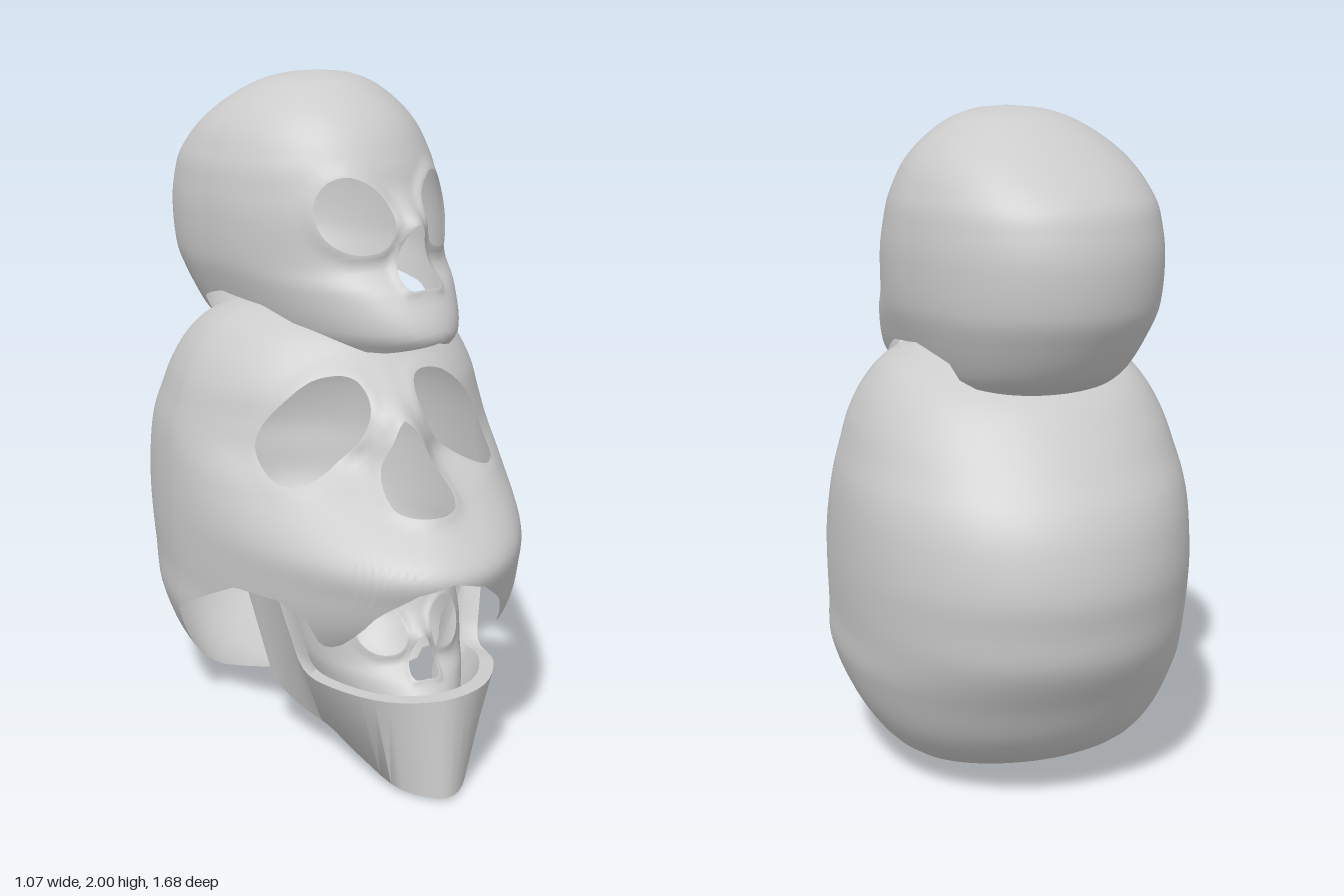
import * as THREE from 'three';
import { toCreasedNormals } from 'three/addons/utils/BufferGeometryUtils.js';

const bone = new THREE.MeshStandardMaterial({ color: 0xcccccc, side: THREE.DoubleSide });

// Smooth interpolation of column c in rows keyed by their first entry
function sample(rows, c, key) {
  const n = rows.length - 1;
  let i = 0;
  while (i < n - 1 && key > rows[i + 1][0]) i++;
  const slope = (a, b) => (rows[b][c] - rows[a][c]) / (rows[b][0] - rows[a][0]);
  const h = rows[i + 1][0] - rows[i][0];
  const t = THREE.MathUtils.clamp((key - rows[i][0]) / h, 0, 1);
  const m0 = slope(Math.max(i - 1, 0), i + 1) * h;
  const m1 = slope(i, Math.min(i + 2, n)) * h;
  const t2 = t * t, t3 = t2 * t;
  return (2 * t3 - 3 * t2 + 1) * rows[i][c] + (t3 - 2 * t2 + t) * m0
    + (3 * t2 - 2 * t3) * rows[i + 1][c] + (t3 - t2) * m1;
}

function linear(rows, key) {
  let i = 0;
  while (i < rows.length - 2 && key > rows[i + 1][0]) i++;
  const [a, b] = [rows[i], rows[i + 1]];
  return THREE.MathUtils.mapLinear(key, a[0], b[0], a[1], b[1]);
}

// How far (x, y) can be scaled from the hole's centre to meet its rim; over 1 is inside
function rimScale(hole, x, y) {
  const [cx, cy] = hole.centre;
  const px = x - cx, py = y - cy;
  if (Math.hypot(px, py) < 1e-6) return 1e6;
  for (let i = 0; i < hole.points.length; i++) {
    const a = hole.points[i], b = hole.points[(i + 1) % hole.points.length];
    const ax = a[0] - cx, ay = a[1] - cy, ex = b[0] - a[0], ey = b[1] - a[1];
    const d = px * ey - py * ex;
    if (Math.abs(d) < 1e-12) continue;
    const s = (ax * ey - ay * ex) / d, k = (ax * py - ay * px) / d;
    if (s > 0 && k >= -1e-6 && k <= 1 + 1e-6) return s;
  }
  return 0;
}

// Round the corners of a hole outline
const outline = (points) => new THREE.CatmullRomCurve3(
  points.map(([x, y]) => new THREE.Vector3(x, y, 0)), true, 'centripetal'
).getPoints(32).slice(0, 32).map((p) => [p.x, p.y]);

function makeHoles(spec) {
  const mirror = ([x, y]) => [-x, y];
  const eye = outline(spec.eye);
  return [
    { centre: spec.eyeCentre, points: eye },
    { centre: mirror(spec.eyeCentre), points: eye.map(mirror) },
    { centre: spec.noseCentre, points: outline(spec.nose) },
  ];
}

// Skull shell from horizontal sections [y, front z, middle z, back z, half width]
function skull(spec) {
  const holes = makeHoles(spec), rows = spec.sections;
  const top = rows[rows.length - 1][0];

  function surface(angle, y) {
    const w = Math.max(sample(rows, 4, y), 0), c = Math.cos(angle);
    const mid = sample(rows, 2, y), x = w * Math.sin(angle);
    if (c < 0) return new THREE.Vector3(x, y, mid + (sample(rows, 3, y) - mid) * Math.pow(-c, 0.8));
    let z = mid + (sample(rows, 1, y) - mid) * Math.pow(c, spec.taper);
    // nasal bone and raised rims
    const [bx, by, size, height] = spec.bridge;
    z += height * Math.exp(-((x / bx) ** 2) - ((y - by) / size) ** 2);
    for (const hole of holes) {
      const s = rimScale(hole, x, y);
      if (s > 0) z += spec.rim * Math.exp(-((Math.max(1 / s - 1, 0) / 0.2) ** 2)) * c;
    }
    return new THREE.Vector3(x, y, z);
  }

  function normal(angle, y) {
    if (y > top - 0.001) return new THREE.Vector3(0, 1, 0);
    const e = 0.012, lo = Math.max(y - e, 0), hi = Math.min(y + e, top);
    const du = surface(angle + e, y).sub(surface(angle - e, y));
    const dv = surface(angle, hi).sub(surface(angle, lo));
    return du.cross(dv).normalize();
  }

  function shell(name, start, cols, bottom, front) {
    const lines = 64, pos = [], nor = [], inside = [], index = [];
    for (let i = 0; i <= cols; i++) {
      for (let j = 0; j <= lines; j++) {
        let angle = start + (Math.PI * i) / cols;
        const base = linear(bottom, Math.abs(2 * i / cols - 1));
        let y = base + (top - base) * Math.sin((Math.PI / 2) * (j / lines));
        let cut = -1;
        if (front) {
          const x = sample(rows, 4, y) * Math.sin(angle);
          holes.forEach((hole, h) => {
            const s = rimScale(hole, x, y);
            if (s <= 1 || cut >= 0) return;
            cut = h;
            const [cx, cy] = hole.centre;
            const q = Math.min(s, 1e5);
            const nx = cx + (x - cx) * q;
            y = cy + (y - cy) * q;
            angle = Math.asin(THREE.MathUtils.clamp(nx / sample(rows, 4, y), -1, 1));
          });
        }
        pos.push(...surface(angle, y).toArray());
        nor.push(...normal(angle, y).toArray());
        inside.push(cut);
      }
    }
    const add = (a, b, c) => {
      if (inside[a] < 0 || inside[b] < 0 || inside[c] < 0) index.push(a, b, c);
    };
    for (let i = 0; i < cols; i++) {
      for (let j = 0; j < lines; j++) {
        const a = i * (lines + 1) + j, b = a + lines + 1;
        add(a, b, b + 1);
        add(a, b + 1, a + 1);
      }
    }
    const geo = new THREE.BufferGeometry();
    geo.setAttribute('position', new THREE.Float32BufferAttribute(pos, 3));
    geo.setAttribute('normal', new THREE.Float32BufferAttribute(nor, 3));
    geo.setIndex(index);
    const mesh = new THREE.Mesh(geo, bone);
    mesh.name = name;
    return mesh;
  }

  const group = new THREE.Group();
  group.add(shell('face', -Math.PI / 2, 84, spec.frontEdge, true));
  group.add(shell('cranium', Math.PI / 2, 44, spec.backEdge, false));
  return group;
}

// Edges are [0 at the middle .. 1 at the side, y]
const large = {
  sections: [
    [0, 0.3, -0.24, -0.28, 0.1], [0.06, 0.35, -0.2, -0.44, 0.31], [0.17, 0.4, -0.11, -0.61, 0.44],
    [0.35, 0.62, -0.05, -0.73, 0.525], [0.48, 0.76, -0.06, -0.805, 0.53], [0.6, 0.82, -0.08, -0.825, 0.535],
    [0.7, 0.83, -0.09, -0.835, 0.535], [0.83, 0.63, -0.1, -0.81, 0.53], [0.92, 0.45, -0.1, -0.77, 0.52],
    [1, 0.4, -0.1, -0.71, 0.5], [1.1, 0.37, -0.1, -0.63, 0.47], [1.2, 0.29, -0.1, -0.53, 0.415],
    [1.27, 0.21, -0.1, -0.4, 0.34], [1.32, 0.08, -0.1, -0.26, 0.2], [1.335, -0.1, -0.1, -0.1, 0],
  ],
  frontEdge: [[0, 0.675], [0.12, 0.645], [0.23, 0.57], [0.32, 0.43], [0.37, 0.43], [0.43, 0.51],
    [0.52, 0.55], [0.66, 0.54], [0.85, 0.42], [1, 0.35]],
  backEdge: [[0, 0], [1, 0]],
  eye: [[0.075, 1.1], [0.1, 1.15], [0.21, 1.14], [0.33, 1.03], [0.37, 0.94], [0.35, 0.865], [0.24, 0.89], [0.12, 0.98]],
  eyeCentre: [0.22, 1.01],
  nose: [[0, 1.05], [0.03, 1.02], [0.1, 0.84], [0, 0.82], [-0.1, 0.84], [-0.03, 1.02]],
  noseCentre: [0, 0.9],
  bridge: [0.1, 0.97, 0.14, 0.13],
  rim: 0.015,
  taper: 1.25,
};

const small = {
  sections: [
    [0, 0.52, -0.06, -0.36, 0.26], [0.06, 0.56, -0.07, -0.44, 0.3], [0.18, 0.5, -0.08, -0.52, 0.35],
    [0.25, 0.43, -0.08, -0.55, 0.37], [0.38, 0.4, -0.08, -0.56, 0.38], [0.47, 0.37, -0.08, -0.545, 0.375],
    [0.55, 0.34, -0.08, -0.51, 0.36], [0.66, 0.27, -0.07, -0.39, 0.305], [0.75, 0.16, -0.04, -0.25, 0.2],
    [0.79, 0.07, -0.03, -0.13, 0.1], [0.8, -0.02, -0.02, -0.02, 0],
  ],
  frontEdge: [[0, 0.04], [0.3, 0.01], [0.5, 0.01], [0.65, 0.06], [0.8, 0.12], [1, 0.14]],
  backEdge: [[0, 0], [0.55, 0], [0.78, 0.05], [0.82, 0.1], [1, 0.14]],
  eye: [[0.06, 0.37], [0.075, 0.46], [0.15, 0.515], [0.21, 0.5], [0.25, 0.43], [0.235, 0.34], [0.175, 0.295], [0.085, 0.31]],
  eyeCentre: [0.155, 0.4],
  nose: [[0, 0.38], [0.025, 0.36], [0.065, 0.2], [0, 0.195], [-0.065, 0.2], [-0.025, 0.36]],
  noseCentre: [0, 0.26],
  bridge: [0.06, 0.38, 0.06, 0.05],
  rim: 0.015,
  taper: 1.05,
};

// U-shaped lower jaw swept from the left ramus round the chin to the right ramus
function lowerJaw() {
  const upper = [[0.37, 0.5, 0.13], [0.35, 0.54, 0.32], [0.32, 0.42, 0.37], [0.29, 0.3, 0.42], [0.26, 0.3, 0.58], [0.15, 0.3, 0.73], [0, 0.3, 0.78]];
  const lower = [[0.3, 0.17, 0.2], [0.27, 0.14, 0.25], [0.25, 0.12, 0.3], [0.2, 0.09, 0.4], [0.16, 0.05, 0.55], [0.1, 0.01, 0.72], [0, 0.01, 0.81]];
  const curve = (half) => new THREE.CatmullRomCurve3(
    [...half, ...half.slice(0, -1).reverse().map(([x, y, z]) => [-x, y, z])].map((p) => new THREE.Vector3(...p)));
  const up = curve(upper), low = curve(lower), steps = 48, pos = [], index = [];
  const inward = (p) => p.clone().add(new THREE.Vector3(-p.x, 0, 0.2 - p.z).normalize().multiplyScalar(0.05));
  for (let i = 0; i <= steps; i++) {
    const a = up.getPoint(i / steps), b = low.getPoint(i / steps);
    for (const p of [a, b, inward(b), inward(a)]) pos.push(...p.toArray());
    if (i === steps) break;
    for (let k = 0; k < 4; k++) {
      const q = i * 4 + k, r = i * 4 + ((k + 1) % 4);
      index.push(q, q + 4, r + 4, q, r + 4, r);
    }
  }
  const e = steps * 4;
  index.push(0, 1, 2, 0, 2, 3, e, e + 2, e + 1, e, e + 3, e + 2);
  const geo = new THREE.BufferGeometry();
  geo.setAttribute('position', new THREE.Float32BufferAttribute(pos, 3));
  geo.setIndex(index);
  const mesh = new THREE.Mesh(toCreasedNormals(geo, 1.1), bone);
  mesh.name = 'lowerJaw';
  return mesh;
}

export function createModel() {
  const model = new THREE.Group();
  const place = (name, spec, position, scale, pitch, yaw) => {
    const part = skull(spec);
    part.name = name;
    part.position.set(...position);
    part.scale.setScalar(scale);
    part.rotation.set(pitch, yaw, 0);
    model.add(part);
  };
  place('largeSkull', large, [0, 0, 0], 1, 0, 0);
  place('topSkull', small, [0.01, 1.2, -0.15], 1, 0, 0.27);
  place('mouthSkull', small, [0.025, 0.13, 0.31], 0.66, -0.12, 0);
  model.add(lowerJaw());
  return model;
}
